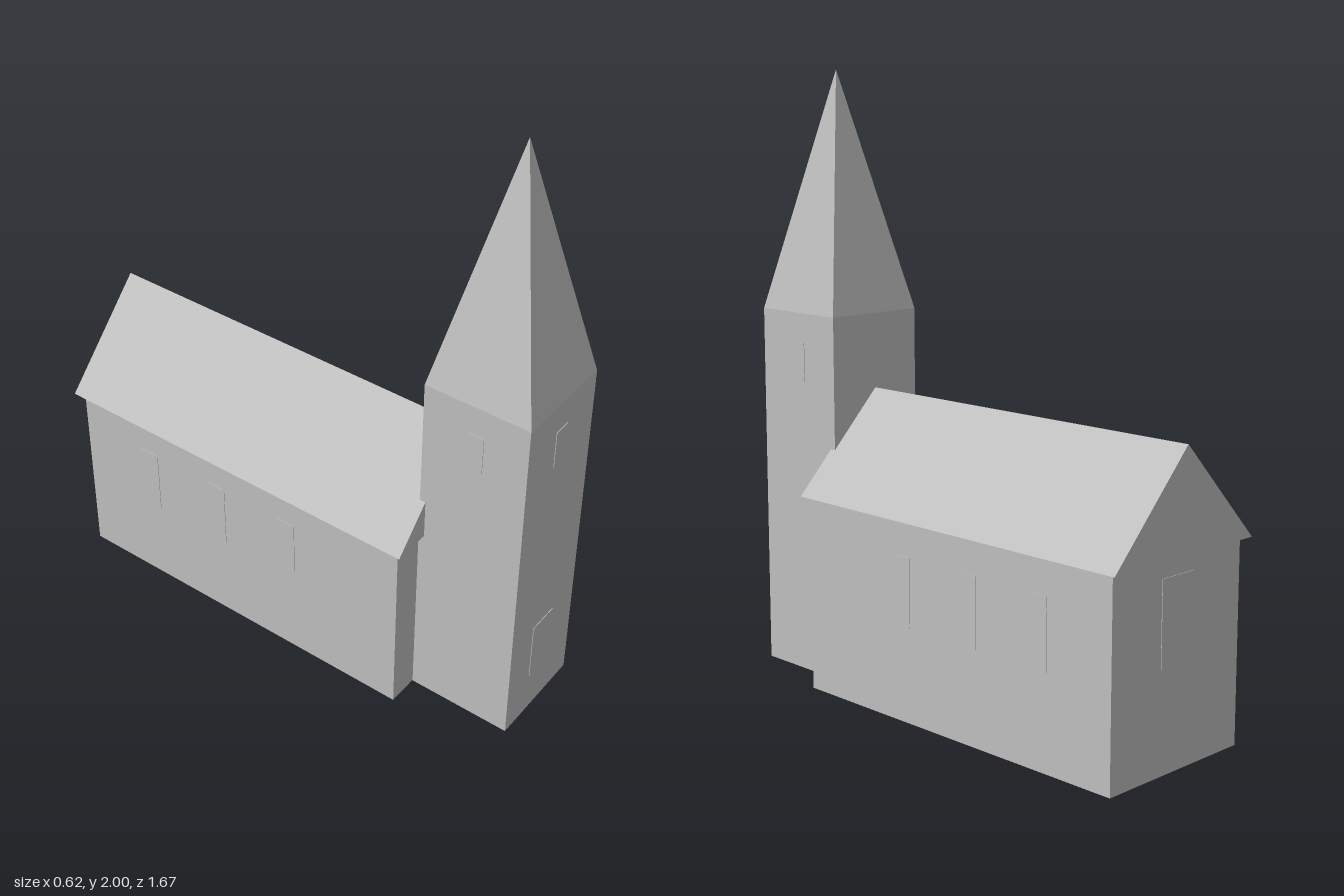
import * as THREE from 'three';

export function createModel() {
  const model = new THREE.Group();
  model.name = 'church';
  const stone = new THREE.MeshStandardMaterial({ color: 0xbfbfbf, flatShading: true });
  stone.name = 'grey stone';

  const add = (name, geometry, x, y, z) => {
    const mesh = new THREE.Mesh(geometry, stone);
    mesh.name = name;
    mesh.position.set(x, y, z);
    model.add(mesh);
    return mesh;
  };
  const box = (name, w, h, d, x, y, z) => add(name, new THREE.BoxGeometry(w, h, d), x, y, z);

  // Nave
  const naveHalf = 0.285, naveFront = 0.476, naveBack = -0.808, eave = 0.645;
  box('nave', naveHalf * 2, eave, naveFront - naveBack, 0, eave / 2, (naveFront + naveBack) / 2);

  // Gabled roof: a closed prism overhanging the walls
  const gable = new THREE.Shape();
  gable.moveTo(-0.308, 0);
  gable.lineTo(0.308, 0);
  gable.lineTo(0, 0.322);
  gable.closePath();
  add('naveRoof', new THREE.ExtrudeGeometry(gable, { depth: 1.331, bevelEnabled: false }), 0, eave, -0.834);

  // Tower and four-sided spire
  const towerHalf = 0.178, towerTop = 1.215, towerZ = 0.655;
  box('tower', towerHalf * 2, towerTop, towerHalf * 2, 0, towerTop / 2, towerZ);
  const spire = new THREE.ConeGeometry(towerHalf * Math.SQRT2, 2 - towerTop, 4);
  spire.rotateY(Math.PI / 4);
  add('spire', spire, 0, (2 + towerTop) / 2, towerZ);

  // Door and windows as thin plates
  const plate = 0.004;
  const towerFront = towerZ + towerHalf;
  box('door', 0.112, 0.21, plate, 0, 0.253, towerFront);
  box('towerFrontWindow', 0.06, 0.13, plate, 0, 1.053, towerFront);
  box('backWindow', 0.143, 0.265, plate, 0, 0.455, naveBack);
  for (const side of [-1, 1]) {
    box('towerSideWindow', plate, 0.13, 0.06, side * towerHalf, 1.053, towerZ);
    for (const z of [0.043, -0.243, -0.529]) {
      box('naveWindow', plate, 0.225, 0.071, side * naveHalf, 0.418, z);
    }
  }
  return model;
}
